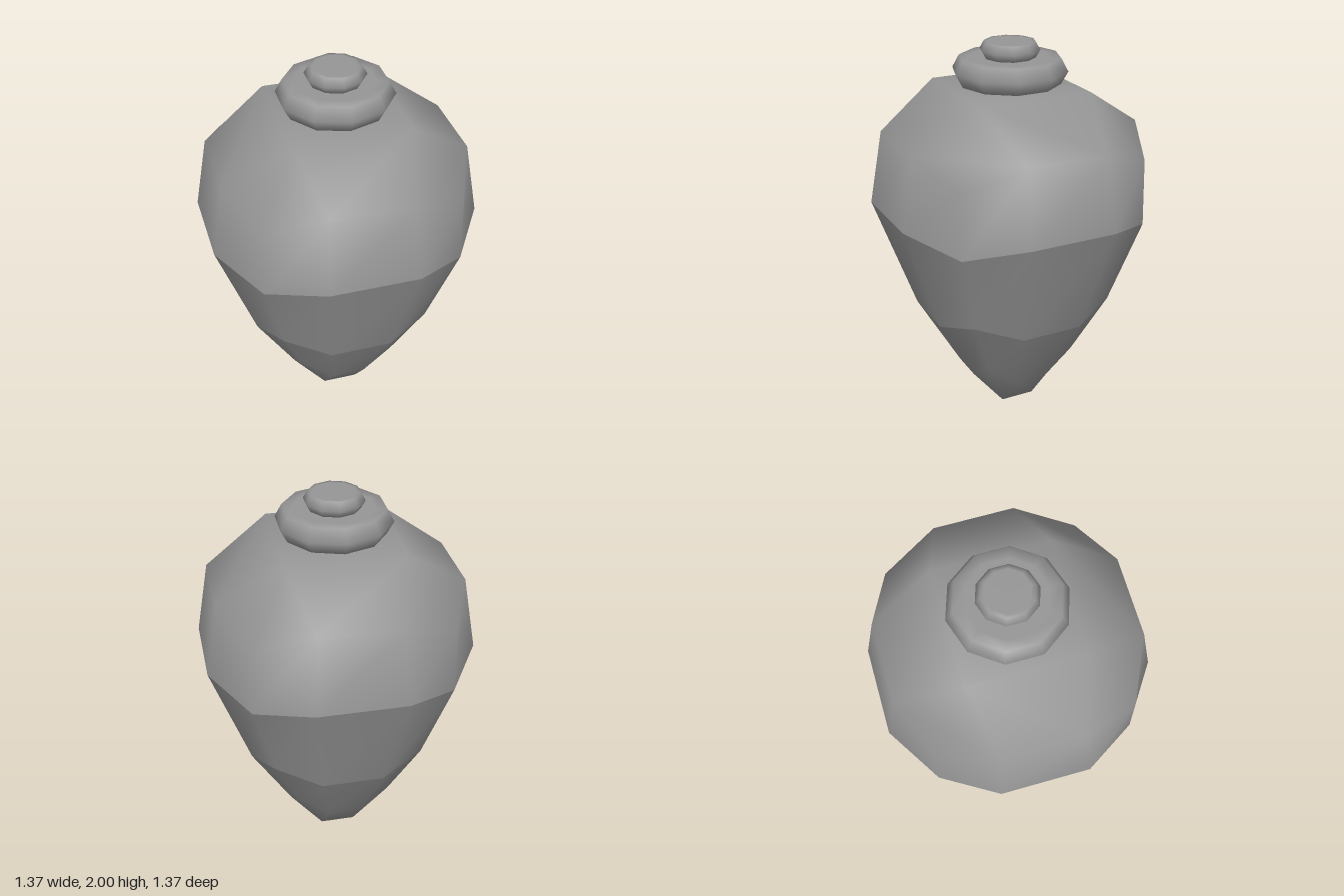
import * as THREE from 'three';
import { mergeVertices } from 'three/addons/utils/BufferGeometryUtils.js';

const material = new THREE.MeshStandardMaterial({ color: 0x969696 });
const RADIUS = 0.981; // vertical half-size of the body
const CENTRE = 0.889;

// One horizontal band of a rounded cube, stretched and tapered to a point.
function bodyBand(minY, maxY) {
  const box = new THREE.BoxGeometry(2, 2, 2, 3, 3, 3).toNonIndexed();
  const src = box.attributes.position;
  const points = [];
  const tri = [new THREE.Vector3(), new THREE.Vector3(), new THREE.Vector3()];
  for (let i = 0; i < src.count; i += 3) {
    tri.forEach((v, k) => v.fromBufferAttribute(src, i + k));
    const midY = (tri[0].y + tri[1].y + tri[2].y) / 3;
    if (midY < minY || midY > maxY) continue;
    for (const v of tri) {
      v.normalize();
      const y = CENTRE + v.y * RADIUS;
      const spread = 0.302 + 0.383 * y; // wider towards the top
      points.push(v.x * spread, y, v.z * spread);
    }
  }
  const soup = new THREE.BufferGeometry();
  soup.setAttribute('position', new THREE.Float32BufferAttribute(points, 3));
  const geometry = mergeVertices(soup);
  geometry.computeVertexNormals();
  return geometry;
}

// Ten-sided disc: flat in the centre, softly shaded over a bulging rim.
function bulgedDisc(bottom, top, flatRadius, capRadius, rimRadius) {
  const profile = [
    [0, bottom],
    [flatRadius, bottom],
    [capRadius, bottom],
    [rimRadius, (bottom + top) / 2],
    [capRadius, top],
    [flatRadius, top],
    [0, top],
  ];
  return new THREE.LatheGeometry(profile.map(([r, y]) => new THREE.Vector2(r, y)), 10);
}

export function createModel() {
  const group = new THREE.Group();
  const add = (name, geometry) => {
    const mesh = new THREE.Mesh(geometry, material);
    mesh.name = name;
    group.add(mesh);
  };

  // Body in three separately shaded bands
  add('bodyTip', bodyBand(-2, -1 / 3));
  add('bodyMiddle', bodyBand(-1 / 3, 1 / 3));
  add('bodyShoulder', bodyBand(1 / 3, 2));

  // Stacked cap on top
  add('collar', bulgedDisc(1.793, 1.922, 0.2, 0.258, 0.293));
  add('topKnob', bulgedDisc(1.922, 2, 0.11, 0.13, 0.152));

  return group;
}
